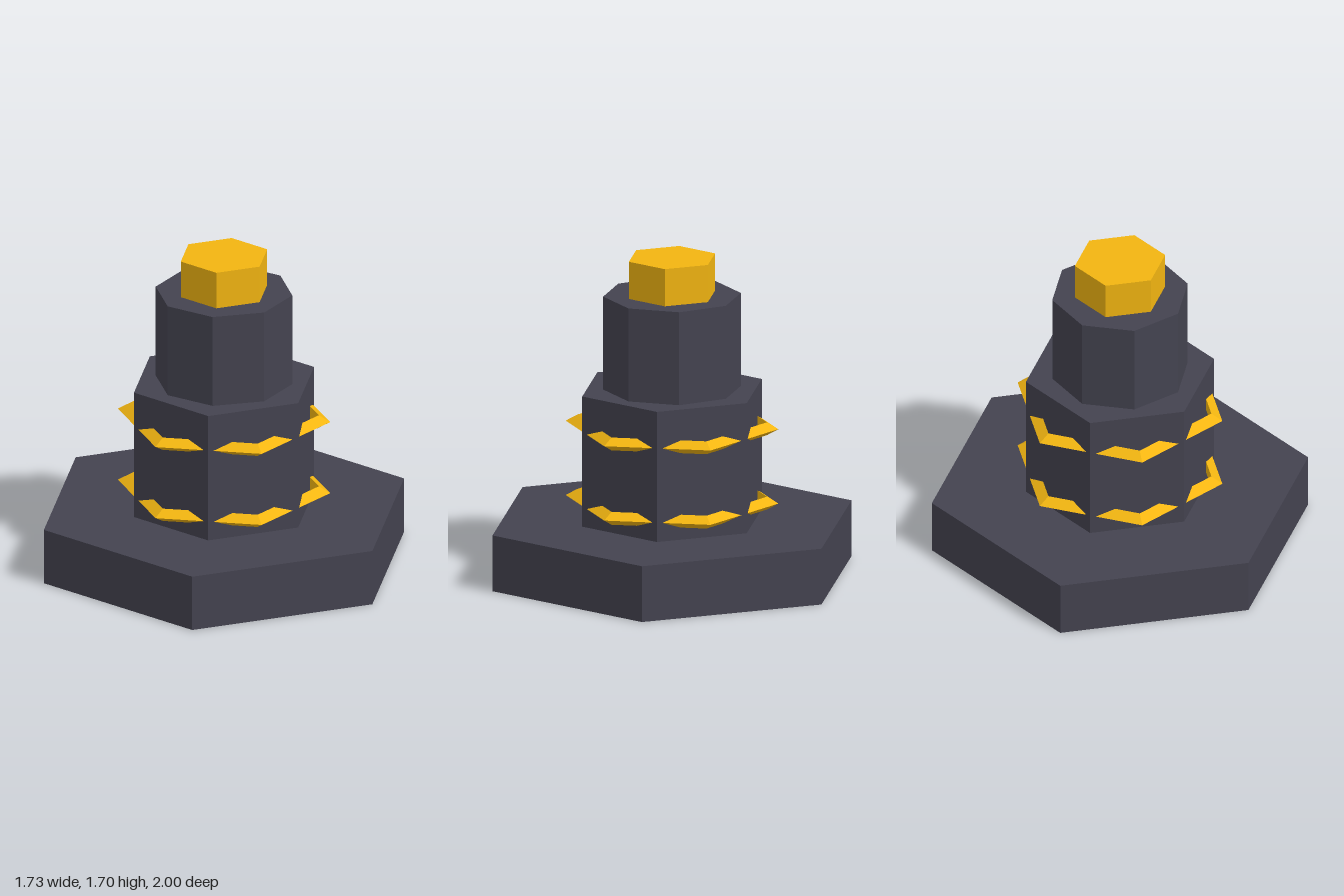
import * as THREE from 'three';

const dark = new THREE.MeshStandardMaterial({ color: 0x444350, flatShading: true });
const gold = new THREE.MeshStandardMaterial({ color: 0xf2b511, flatShading: true });

// Upright prism with a corner facing the front
function prism(name, radius, sides, bottom, top, material) {
  const geometry = new THREE.CylinderGeometry(radius, radius, top - bottom, sides);
  const mesh = new THREE.Mesh(geometry, material);
  mesh.position.y = (bottom + top) / 2;
  mesh.name = name;
  return mesh;
}

export function createModel() {
  const model = new THREE.Group();
  model.name = 'steppedPedestal';

  // Stacked tiers
  model.add(
    prism('base', 1, 6, 0, 0.3, dark),
    prism('column', 0.5, 6, 0.3, 1, dark),
    prism('upperColumn', 0.36, 8, 1, 1.5, dark),
    prism('cap', 0.24, 6, 1.5, 1.7, gold)
  );

  // Six-sided bands of triangular section, turned so they cut through the column corners
  const bandGeometry = new THREE.TorusGeometry(0.52, 0.04, 3, 6).rotateX(Math.PI / 2);
  [['lowerBand', 0.4], ['upperBand', 0.8]].forEach(([name, y]) => {
    const band = new THREE.Mesh(bandGeometry, gold);
    band.name = name;
    band.position.y = y;
    model.add(band);
  });

  return model;
}
